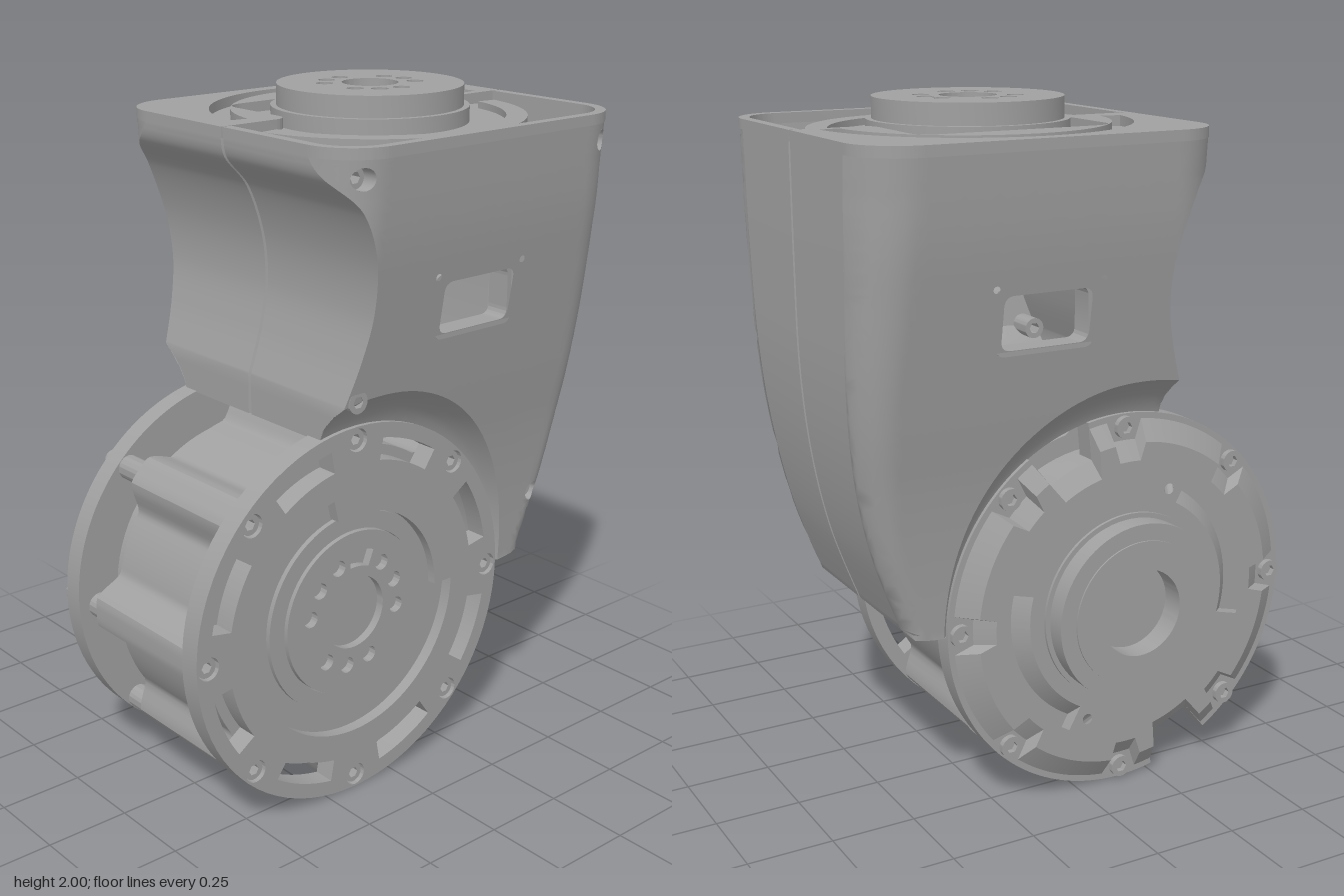
import * as THREE from 'three';
import { toCreasedNormals } from 'three/addons/utils/BufferGeometryUtils.js';

const grey = new THREE.MeshStandardMaterial({ color: 0xa0a0a0, side: THREE.DoubleSide });
grey.name = 'machined grey';
const RAD = Math.PI / 180;
const CX = -0.145, CY = 0.565;      // drum axis
const TX = 0.175, TOP = 1.93;       // upper hub axis, housing top

// ---- helpers ----
function add(parent, name, geo) {
  const m = new THREE.Mesh(geo, grey);
  m.name = name;
  parent.add(m);
  return m;
}
// extrude a shape between two z levels; the rear end can be scaled to make a chamfer
function slab(parent, name, shape, z0, z1, taper = 1) {
  const g = new THREE.ExtrudeGeometry(shape, { depth: z1 - z0, bevelEnabled: false, curveSegments: 40 });
  g.translate(0, 0, z0);
  const p = g.attributes.position;
  for (let i = 0; i < p.count; i++) {
    if (p.getZ(i) < (z0 + z1) / 2) p.setXY(i, p.getX(i) * taper, p.getY(i) * taper);
  }
  return add(parent, name, toCreasedNormals(g, 0.5));
}
// strip of quads between rows of [x, y, z] points
function strip(parent, name, rows, flip) {
  const pos = [];
  for (let j = 0; j + 1 < rows.length; j++) {
    for (let i = 0; i + 1 < rows[j].length; i++) {
      const A = rows[j][i], B = rows[j][i + 1], C = rows[j + 1][i + 1], D = rows[j + 1][i];
      pos.push(...(flip ? [A, C, B, A, D, C] : [A, B, C, A, C, D]).flat());
    }
  }
  const g = new THREE.BufferGeometry();
  g.setAttribute('position', new THREE.Float32BufferAttribute(pos, 3));
  add(parent, name, toCreasedNormals(g, 0.5));
}
const hole = (r, x = 0, y = 0) => new THREE.Path().absarc(x, y, r, 0, Math.PI * 2, true);
function disc(r, holes = []) {
  const s = new THREE.Shape().absarc(0, 0, r, 0, Math.PI * 2, false);
  s.holes.push(...holes);
  return s;
}
// arc-shaped band between two radii, angles in degrees
function band(Type, r0, r1, a0, a1, x = 0) {
  return new Type().absarc(x, 0, r1, a0 * RAD, a1 * RAD, false).absarc(x, 0, r0, a1 * RAD, a0 * RAD, true).closePath();
}
const at = (r, a) => [r * Math.cos(a * RAD), r * Math.sin(a * RAD)];
const polar = fn => new THREE.Shape(Array.from({ length: 240 }, (_, i) => new THREE.Vector2(...at(fn(i * 1.5), i * 1.5))));
const fromBolt = a => Math.abs(((a + 22.5) % 45) - 22.5);
const eighths = [0, 45, 90, 135, 180, 225, 270, 315];
const boltAngles = [111, 141, 171, 231, 261, 291, 351, 21, 51];
function screw(parent, x, y, z0, z1, r = 0.029) {
  const s = disc(r);
  s.holes.push(new THREE.Path([0, 1, 2, 3, 4, 5].map(i => new THREE.Vector2(...at(r * 0.55, -i * 60)))));
  slab(parent, 'screw', s, z0, z1).position.set(x, y, 0);
}
// smooth lookup y -> value through a few points [value, y]
function profile(points) {
  const pts = new THREE.SplineCurve(points.map(p => new THREE.Vector2(...p))).getPoints(64);
  const f = y => {
    const i = pts.findIndex(p => p.y >= y);
    if (i <= 0) return pts[i < 0 ? pts.length - 1 : 0].x;
    const t = (y - pts[i - 1].y) / Math.max(1e-6, pts[i].y - pts[i - 1].y);
    return pts[i - 1].x + t * (pts[i].x - pts[i - 1].x);
  };
  return { pts, f };
}

// ---- housing ----
const left = profile([[-0.27, 1.228], [-0.23, 1.35], [-0.205, 1.48], [-0.215, 1.62], [-0.265, 1.76], [-0.34, 1.85], [-0.35, TOP]]);
const right = profile([[0.54, 0.6], [0.62, 0.82], [0.67, 1.05], [0.695, 1.3], [0.70, 1.6], [0.70, TOP]]);
const depth = profile([[0.32, 0.57], [0.34, 0.8], [0.365, 1.0], [0.4, 1.2], [0.45, 1.5], [0.48, 1.7], [0.5, TOP]]);
function surfaceZ(x, y) {
  const r = 0.05 + 0.1 * THREE.MathUtils.clamp((y - 0.6) / 1.2, 0, 1);
  const d = THREE.MathUtils.clamp(Math.min(right.f(y) - x, x + 0.35), 0, r);
  const rounded = y < 1.3 ? THREE.MathUtils.clamp(right.f(y) - x, 0, r) : d;
  return depth.f(y) - r + Math.sqrt(r * r - (r - rounded) ** 2);
}
// concave relief around the drum: outer radius by angle, depth by radius
const INNER = 0.56, END = 100.67;
const reliefRadius = a => 0.575 + 0.1 * THREE.MathUtils.smoothstep(a, 0, 85);
function housingZ(x, y) {
  const a = Math.atan2(y - CY, x - CX) / RAD;
  const t = THREE.MathUtils.clamp((Math.hypot(x - CX, y - CY) - INNER) / (reliefRadius(a) - INNER), 0, 1);
  return THREE.MathUtils.lerp(0.305, surfaceZ(x, y), t ** 1.5);
}
const onDrum = (r, a) => new THREE.Vector2(CX + r * Math.cos(a * RAD), CY + r * Math.sin(a * RAD));
const steps = Array.from({ length: 41 }, (_, i) => END * (1 - i / 40));

function windowPath(Type, o) {
  const x0 = 0.045 - o, x1 = 0.31 + o, y0 = 1.38 - o, y1 = 1.53 + o, r = 0.03;
  return new Type().moveTo(x0 + r, y0).lineTo(x1 - r, y0).quadraticCurveTo(x1, y0, x1, y0 + r)
    .lineTo(x1, y1 - r).quadraticCurveTo(x1, y1, x1 - r, y1).lineTo(x0 + r, y1)
    .quadraticCurveTo(x0, y1, x0, y1 - r).lineTo(x0, y0 + r).quadraticCurveTo(x0, y0, x0 + r, y0);
}
// split triangles at their longest edge until small enough
function refine(a, b, c, max, out) {
  const ab = a.distanceTo(b), bc = b.distanceTo(c), ca = c.distanceTo(a), m = Math.max(ab, bc, ca);
  if (m < max) { out.push(a, b, c); return; }
  if (m === bc) return refine(b, c, a, max, out);
  if (m === ca) return refine(c, a, b, max, out);
  const h = a.clone().add(b).multiplyScalar(0.5);
  refine(a, h, c, max, out);
  refine(h, b, c, max, out);
}
function curvedFace(group, name, shape, side) {
  const flat = new THREE.ShapeGeometry(shape, 10), p = flat.attributes.position, idx = flat.index.array, tris = [];
  const v = i => new THREE.Vector2(p.getX(i), p.getY(i));
  for (let i = 0; i < idx.length; i += 3) refine(v(idx[i]), v(idx[i + 1]), v(idx[i + 2]), 0.04, tris);
  const pos = [], nor = [], e = 0.003;
  for (let i = 0; i < tris.length; i += 3) {
    for (const k of side > 0 ? [0, 1, 2] : [0, 2, 1]) {
      const { x, y } = tris[i + k];
      pos.push(x, y, side * surfaceZ(x, y));
      const n = new THREE.Vector3((surfaceZ(x - e, y) - surfaceZ(x + e, y)) / (2 * e), (surfaceZ(x, y - e) - surfaceZ(x, y + e)) / (2 * e), 1).normalize();
      nor.push(n.x, n.y, side * n.z);
    }
  }
  const g = new THREE.BufferGeometry();
  g.setAttribute('position', new THREE.Float32BufferAttribute(pos, 3));
  g.setAttribute('normal', new THREE.Float32BufferAttribute(nor, 3));
  add(group, name, g);
}
function buildHousing(group) {
  const V = (x, y) => new THREE.Vector2(x, y);
  const foot = [V(0.46, 0.567), V(0.515, 0.575), ...right.pts], scallop = left.pts.slice().reverse();
  const faceLine = [...scallop, ...steps.slice(1).map(a => onDrum(reliefRadius(a), a)), ...foot];
  const wallLine = [...scallop, V(-0.27, 1.19), V(-0.27, 1.15), ...steps.map(a => onDrum(INNER, a * 102.9 / END)), V(0.43, 0.565), ...foot];
  const bores = [[-0.27, 1.85], [0.62, 1.85], [0.555, 0.765]];
  for (const side of [1, -1]) {
    const shape = new THREE.Shape(faceLine);
    shape.holes.push(windowPath(THREE.Path, 0), hole(0.01, 0.015, 1.55), hole(0.01, 0.335, 1.55));
    if (side > 0) shape.holes.push(...bores.map(([x, y]) => hole(0.03, x, y)));
    curvedFace(group, side > 0 ? 'housingFront' : 'housingBack', shape, side);
    // edge wall with a fine V groove on the middle plane
    strip(group, 'housingWall', [
      wallLine.map(p => [p.x + (p.x > TX ? -0.012 : 0.012), p.y, 0]),
      wallLine.map(p => [p.x, p.y, side * 0.006]),
      wallLine.map(p => [p.x, p.y, side * housingZ(p.x, p.y)]),
    ], side < 0);
    // flared relief around the drum
    strip(group, 'drumRelief', [0, 0.25, 0.5, 0.75, 1].map(t => steps.map(a => {
      const p = onDrum(THREE.MathUtils.lerp(INNER, reliefRadius(a), t), a * THREE.MathUtils.lerp(102.9 / END, 1, t));
      return [p.x, p.y, side * housingZ(p.x, p.y)];
    })), side > 0);
    // window reveal and the hood above it
    const frame = windowPath(THREE.Shape, 0.015);
    frame.holes.push(windowPath(THREE.Path, 0));
    slab(group, 'windowFrame', frame, side > 0 ? 0.36 : -0.43, side > 0 ? 0.43 : -0.36);
    const hood = new THREE.Shape([V(0, 1.56), V(0.35, 1.56), V(0.35, 1.575), V(0, 1.575)]);
    slab(group, 'windowHood', hood, side > 0 ? 0.36 : -0.45, side > 0 ? 0.45 : -0.36);
  }
  // counterbored screws on the front
  for (const [x, y] of bores) {
    const ring = Array.from({ length: 25 }, (_, i) => at(0.03, i * 15)).map(([u, v]) => [x + u, y + v]);
    const floor = surfaceZ(x, y) - 0.06;
    strip(group, 'counterbore', [ring.map(([u, v]) => [u, v, floor]), ring.map(([u, v]) => [u, v, surfaceZ(u, v)])], true);
    screw(group, x, y, floor - 0.02, floor + 0.025, 0.03);
  }
  screw(group, -0.225, 1.24, 0.33, surfaceZ(-0.225, 1.24) + 0.004, 0.032);
}

// ---- lower drum, axis along z ----
function buildDrum(g) {
  const plate = disc(0.565);
  for (const a of eighths) {
    plate.holes.push(band(THREE.Path, 0.455, 0.52, a + 10.5, a + 34.5), hole(0.034, ...at(0.525, a)));
    screw(g, ...at(0.525, a), 0.25, 0.31, 0.03);
  }
  plate.holes.push(new THREE.Path().absarc(0, 0, 0.375, 103 * RAD, 360 * RAD, false).absarc(0, 0, 0.308, 0, 103 * RAD, false).closePath());
  slab(g, 'frontPlate', plate, 0.255, 0.32);
  slab(g, 'frontRecess', disc(0.4), 0.2, 0.285);
  slab(g, 'frontRing', disc(0.302, [hole(0.25)]), 0.28, 0.3);
  slab(g, 'frontHub', disc(0.247, [hole(0.11), band(THREE.Path, 0.14, 0.19, 68, 96), ...boltAngles.map(a => hole(0.024, ...at(0.163, a)))]), 0.28, 0.31);
  // body with eight rounded bosses
  slab(g, 'drumBody', polar(a => 0.562 - 0.077 * THREE.MathUtils.smoothstep(fromBolt(a), 3.5, 12)), -0.165, 0.255);
  slab(g, 'drumNeck', disc(0.43), -0.26, -0.165);
  for (const a of eighths) {
    const len = a % 90 === 45 || a === 270 ? 0.095 : 0.04;
    slab(g, 'bossFoot', disc(0.036), -0.165 - len, -0.165).position.set(...at(0.525, a), 0);
    screw(g, ...at(0.525, a), -0.335, -0.3, 0.032);
  }
  // rear flange with two notches
  const notched = fn => polar(a => Math.abs((a % 180) - 67) < 10 ? 0.455 : fn(a));
  slab(g, 'rearFlange', notched(() => 0.563), -0.318, -0.255);
  const cap = notched(a => fromBolt(a) < 5 ? 0.485 : 0.545);
  cap.holes.push(...[157, 337].map(a => band(THREE.Path, 0.365, 0.45, a - 38, a + 38)));
  cap.holes.push(...[112, 292].map(a => hole(0.018, ...at(0.4, a))));
  slab(g, 'rearCap', cap, -0.357, -0.318, 0.89);
  slab(g, 'rearCollar', disc(0.28, [hole(0.13)]), -0.366, -0.35);
  slab(g, 'rearHub', disc(0.265, [hole(0.205)]), -0.425, -0.36);
  slab(g, 'rearHubRim', disc(0.215, [hole(0.13)]), -0.43, -0.36);
}

// ---- upper actuator, built along z and turned upright ----
function buildTop(g) {
  const c = (x, y) => [TX + x, y];
  const centred = (name, shape, z0, z1) => { slab(g, name, shape, z0, z1).position.x = TX; };
  centred('motorBody', disc(0.34), 1.6, 1.8);
  centred('motorDisc', disc(0.445), 1.8, 1.895);
  centred('motorArc', band(THREE.Shape, 0.385, 0.445, 188, 352), 1.89, 1.915);
  centred('grooveFloor', band(THREE.Shape, 0.38, 0.465, 2, 173), 1.885, 1.9);
  centred('hubCollar', disc(0.282, [hole(0.08)]), 1.89, 1.94);
  centred('hub', disc(0.265, [hole(0.08), ...[0, 30, 330, 90, 270, 120, 240, 150, 210].map(a => hole(0.024, ...at(0.13, a)))]), 1.94, 2.0);
  // rear half lid with a notch for the hub and an arc groove
  const r = 0.15, k = 0.05, s = 0.002;
  const lid = new THREE.Shape().moveTo(0.7, s).lineTo(0.7, 0.5 - r).absarc(0.7 - r, 0.5 - r, r, 0, Math.PI / 2, false)
    .lineTo(-0.35 + r, 0.5).absarc(-0.35 + r, 0.5 - r, r, Math.PI / 2, Math.PI, false).lineTo(-0.35, s)
    .lineTo(...c(-0.34, s)).quadraticCurveTo(...c(-0.295, s), ...c(-0.295, k))
    .lineTo(...c(-0.295, 0.23)).quadraticCurveTo(...c(-0.295, 0.29), ...c(-0.23, 0.29))
    .lineTo(...c(0.23, 0.29)).quadraticCurveTo(...c(0.29, 0.29), ...c(0.29, 0.23))
    .lineTo(...c(0.29, k)).quadraticCurveTo(...c(0.29, s), ...c(0.335, s)).closePath();
  lid.holes.push(band(THREE.Path, 0.395, 0.455, 4, 171, TX));
  slab(g, 'rearLid', lid, 1.9, TOP);
  // open rim of the front half
  const t = 0.03, ri = r - t;
  const rim = new THREE.Shape().moveTo(-0.35, -s).lineTo(-0.35, -0.5 + r).absarc(-0.35 + r, -0.5 + r, r, Math.PI, Math.PI * 1.5, false)
    .lineTo(0.7 - r, -0.5).absarc(0.7 - r, -0.5 + r, r, Math.PI * 1.5, Math.PI * 2, false).lineTo(0.7, -s).lineTo(0.7 - t, -s)
    .absarc(0.7 - r, -0.5 + r, ri, Math.PI * 2, Math.PI * 1.5, true).absarc(-0.35 + r, -0.5 + r, ri, Math.PI * 1.5, Math.PI, true)
    .lineTo(-0.35 + t, -s).closePath();
  slab(g, 'frontRim', rim, 1.9, TOP);
  g.rotation.x = -Math.PI / 2;
}

export function createModel() {
  const model = new THREE.Group();
  model.name = 'actuatorJoint';
  const part = (name, build) => {
    const g = new THREE.Group();
    g.name = name;
    build(g);
    model.add(g);
    return g;
  };
  part('housing', buildHousing);
  part('drum', buildDrum).position.set(CX, CY, 0);
  part('upperActuator', buildTop);
  return model;
}
